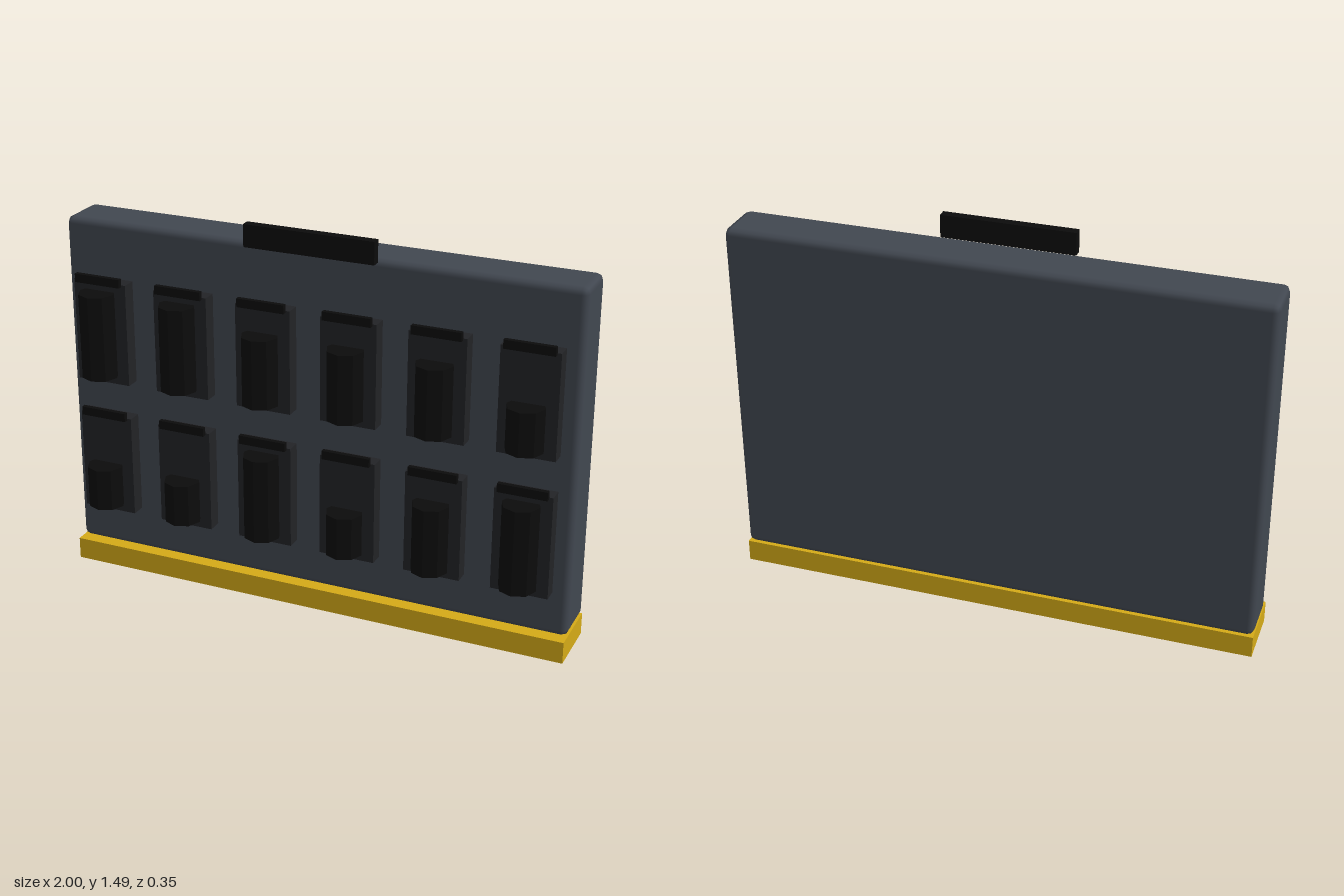
import * as THREE from 'three';
import { RoundedBoxGeometry } from 'three/addons/geometries/RoundedBoxGeometry.js';

const paint = (color) => new THREE.MeshStandardMaterial({ color });

export function createModel() {
  const model = new THREE.Group();
  const slate = paint(0x414750);
  const gold = paint(0xd4aa17);
  const charcoal = paint(0x222326);
  const black = paint(0x0c0c0c);
  const blackFaceted = paint(0x0c0c0c);
  blackFaceted.flatShading = true;

  const add = (parent, name, geometry, material, x, y, z) => {
    const mesh = new THREE.Mesh(geometry, material);
    mesh.name = name;
    mesh.position.set(x, y, z);
    parent.add(mesh);
  };

  // Bevelled board standing on a ledge, with a title plate above the front edge
  add(model, 'board', new RoundedBoxGeometry(2, 1.325, 0.2, 1, 0.025), slate, 0, 0.7475, -0.075);
  add(model, 'baseLedge', new THREE.BoxGeometry(2, 0.085, 0.235), gold, 0, 0.0425, -0.0575);
  add(model, 'titlePlate', new THREE.BoxGeometry(0.5, 0.085, 0.035), black, 0, 1.4425, 0.0425);

  // Two rows of holders: back plate, top lip and an eight-sided roll of varying height
  const rows = [
    { bottom: 0.26, rolls: [0.165, 0.165, 0.33, 0.165, 0.265, 0.33] },
    { bottom: 0.795, rolls: [0.33, 0.33, 0.265, 0.265, 0.265, 0.165] },
  ];
  const plate = new THREE.BoxGeometry(0.215, 0.398, 0.057);
  const lip = new THREE.BoxGeometry(0.185, 0.033, 0.018);

  rows.forEach(({ bottom, rolls }, row) => {
    rolls.forEach((height, column) => {
      const holder = new THREE.Group();
      holder.name = `holder${row + 1}_${column + 1}`;
      holder.position.set(-0.835 + column * 0.333, bottom, 0);
      add(holder, 'holderPlate', plate, charcoal, 0, 0.199, 0.0535);
      add(holder, 'holderLip', lip, black, 0, 0.408, 0.092);
      const roll = new THREE.CylinderGeometry(0.07, 0.07, height, 8);
      add(holder, 'roll', roll, blackFaceted, 0, 0.035 + height / 2, 0.105);
      model.add(holder);
    });
  });

  return model;
}
